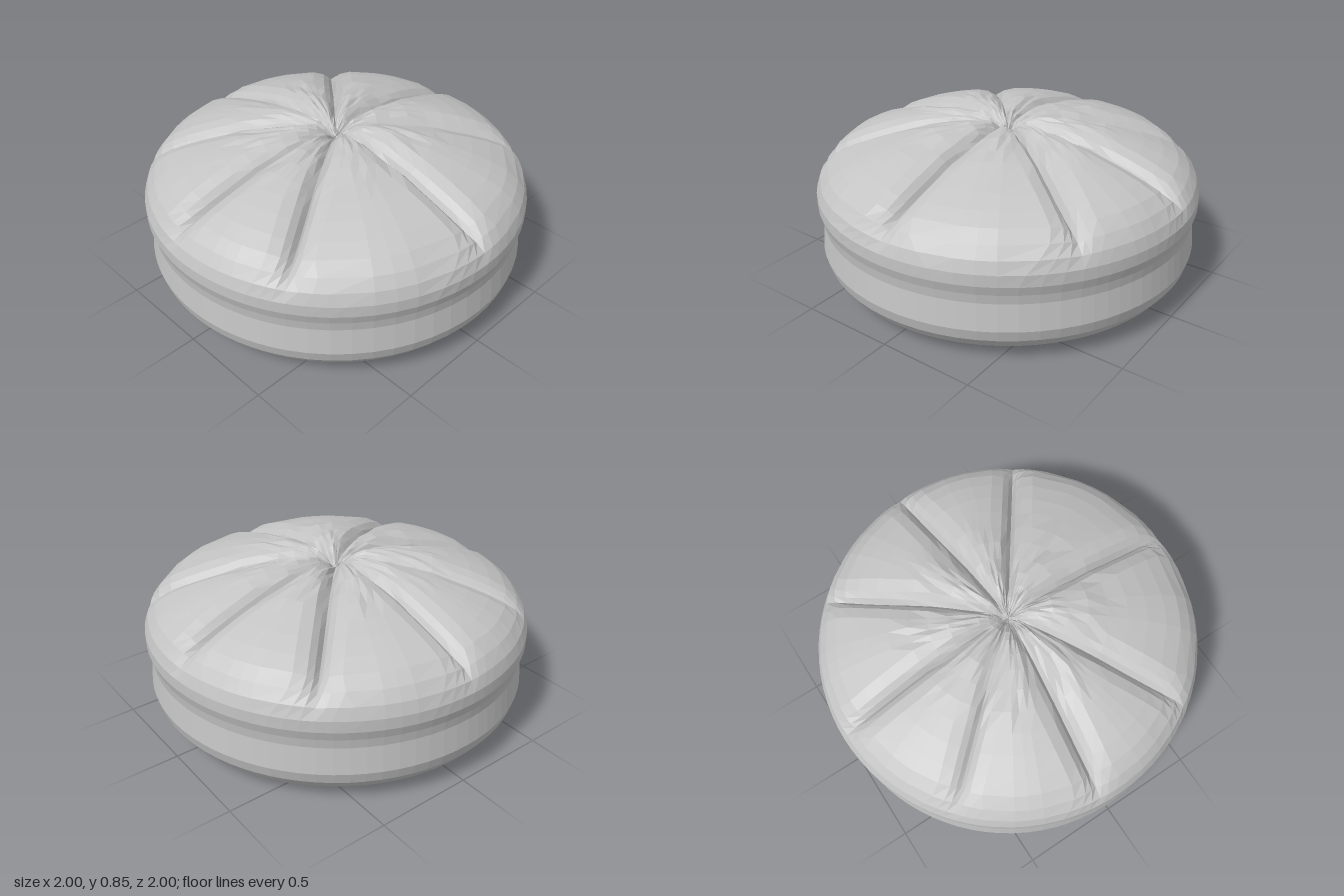
import * as THREE from 'three';

// Outer profile from the base centre to the top centre: radius, height, crease depth
const PROFILE = [
  [0, 0, 0], [0.6, 0, 0], [0.75, 0.012, 0], [0.86, 0.035, 0], [0.93, 0.08, 0], [0.975, 0.14, 0],
  [0.992, 0.2, 0], [0.985, 0.27, 0], [0.978, 0.34, 0], [0.985, 0.39, 0], [1, 0.44, 0], [1, 0.5, 0],
  [0.98, 0.56, 0.008], [0.94, 0.615, 0.03], [0.88, 0.665, 0.06], [0.8, 0.705, 0.08],
  [0.7, 0.743, 0.09], [0.6, 0.773, 0.09], [0.5, 0.799, 0.085], [0.4, 0.82, 0.085],
  [0.3, 0.838, 0.08], [0.22, 0.848, 0.08], [0.15, 0.852, 0.08], [0.1, 0.845, 0.07],
  [0.06, 0.815, 0.05], [0.03, 0.77, 0.02], [0, 0.75, 0],
];

// Crease directions (from +x towards +z) and their relative strength
const CREASES = [
  [-0.08, 1], [0.61, 1], [1.57, 1], [2.58, 1], [3.245, 1], [3.99, 0.65], [4.69, 0.85], [5.46, 1],
];
const STEPS = 10; // columns in each panel between two creases
const NEAR = [0, 0.02, 0.05, 0.11]; // distances of the columns hugging a crease

function seeded(seed) {
  return () => {
    seed = (seed * 16807) % 2147483647;
    return seed / 2147483647 - 0.5;
  };
}

// Angle away from the nearest crease for column k, crowding columns towards it on the top
function creaseOffset(k, span, r, crowd) {
  const even = (span * k) / STEPS;
  if (k >= NEAR.length || r === 0) return even;
  return THREE.MathUtils.lerp(even, Math.min(even, NEAR[k] / r), crowd);
}

function cushionGeometry() {
  const positions = [];
  const indices = [];
  const noise = seeded(71);
  const columns = CREASES.length * STEPS;

  PROFILE.forEach(([r, y, depth], row) => {
    const crowd = THREE.MathUtils.smoothstep(row, 10, 14);
    CREASES.forEach(([start, strength], c) => {
      const next = CREASES[(c + 1) % CREASES.length];
      const end = next[0] + (c === CREASES.length - 1 ? Math.PI * 2 : 0);
      const span = end - start;
      for (let k = 0; k < STEPS; k++) {
        const fromStart = k <= STEPS / 2;
        const offset = creaseOffset(fromStart ? k : STEPS - k, span, r, crowd);
        const angle = fromStart ? start + offset : end - offset;
        const dip = depth * (fromStart ? strength : next[1]) * Math.exp((-offset * r) / 0.04);
        // small gathers around the pinched centre
        const gather = row > 17 && r > 0 ? noise() * 0.016 : 0;
        // the crease pulls down on the crown and inwards at the shoulder
        const radius = r - dip * 0.7 * r * r;
        positions.push(radius * Math.cos(angle), y - dip + gather, radius * Math.sin(angle));
      }
    });
  });

  for (let i = 0; i < PROFILE.length - 1; i++) {
    for (let j = 0; j < columns; j++) {
      const a = i * columns + j;
      const b = i * columns + ((j + 1) % columns);
      if (i < PROFILE.length - 2) indices.push(b, a + columns, b + columns);
      if (i > 0) indices.push(a, a + columns, b);
    }
  }

  const geometry = new THREE.BufferGeometry();
  geometry.setAttribute('position', new THREE.Float32BufferAttribute(positions, 3));
  geometry.setIndex(indices);
  const faceted = geometry.toNonIndexed();
  faceted.computeVertexNormals();
  return faceted;
}

export function createModel() {
  const model = new THREE.Group();
  model.name = 'gatheredCushion';

  const fabric = new THREE.MeshStandardMaterial({ color: 0xc4c4c4 });
  fabric.name = 'grey fabric';

  const cushion = new THREE.Mesh(cushionGeometry(), fabric);
  cushion.name = 'cushion';
  model.add(cushion);
  return model;
}
